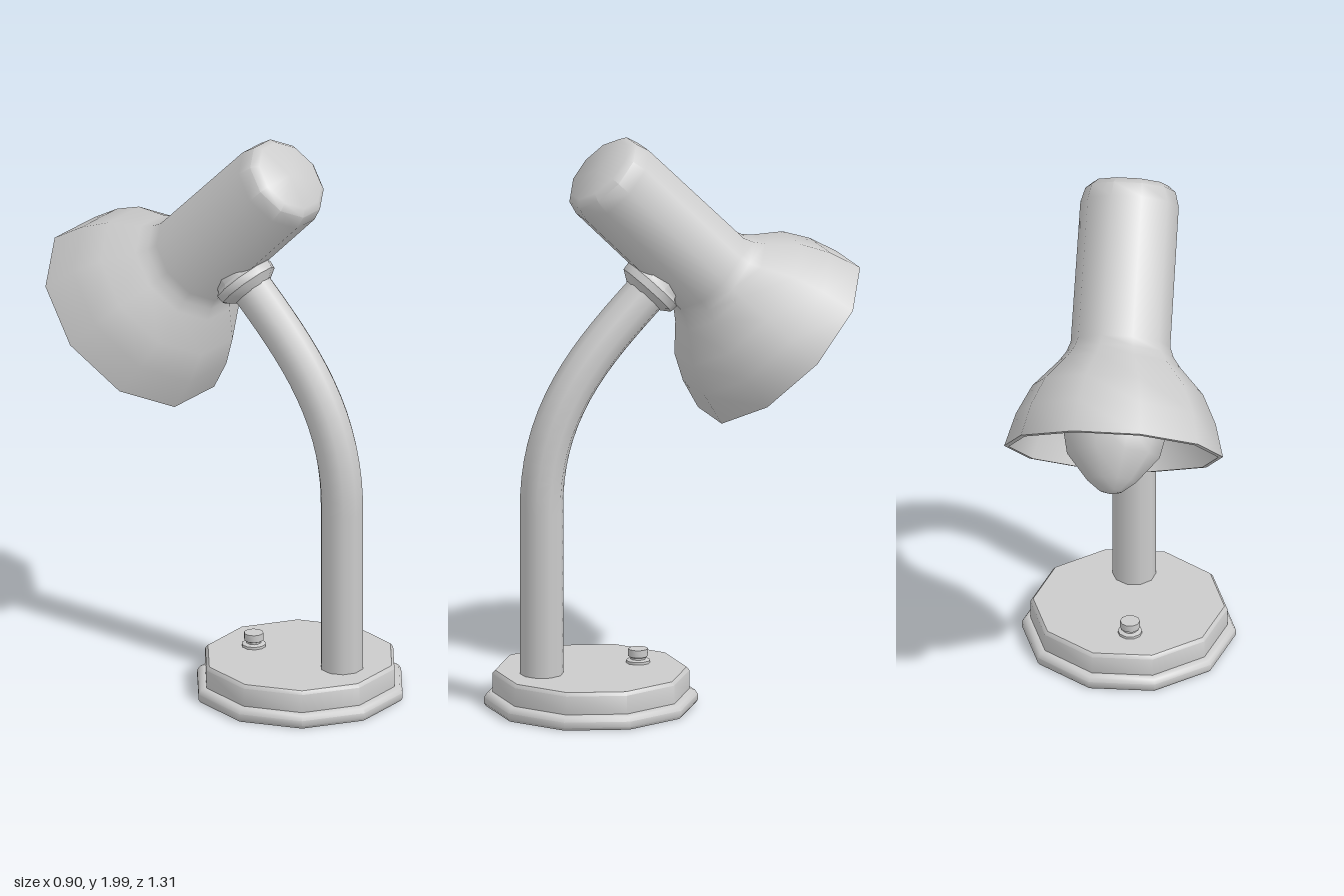
import * as THREE from 'three';
import { toCreasedNormals } from 'three/addons/utils/BufferGeometryUtils.js';

const SIDES = 10;
const material = new THREE.MeshStandardMaterial({ color: 0xcccccc });

// Ten-sided turned part from [radius, height] pairs, with crisp rims
function turned(name, profile, phase = 0, crease = 0.75) {
  const points = profile.map(([r, y]) => new THREE.Vector2(r, y));
  const lathe = new THREE.LatheGeometry(points, SIDES, THREE.MathUtils.degToRad(phase));
  const mesh = new THREE.Mesh(toCreasedNormals(lathe, crease), material);
  mesh.name = name;
  return mesh;
}

export function createModel() {
  const lamp = new THREE.Group();
  lamp.name = 'deskLamp';

  // Stepped base
  const base = turned('base', [
    [0, 0], [0.362, 0], [0.369, 0.01], [0.369, 0.03], [0.36, 0.044], [0.345, 0.05],
    [0.34, 0.05], [0.34, 0.115], [0.33, 0.127], [0, 0.127],
  ], -2.4);
  base.position.set(0.095, 0, 0.29);
  lamp.add(base);

  // Push button on the base
  const button = turned('switchButton', [
    [0.042, 0.12], [0.042, 0.136], [0.026, 0.14], [0.026, 0.146],
    [0.034, 0.15], [0.034, 0.176], [0, 0.176],
  ]);
  button.position.set(0.03, 0, 0.12);
  lamp.add(button);

  // Stem: straight post that bends over towards the head
  const bendStart = new THREE.Vector3(0.138, 0.72, 0.465);
  const path = new THREE.CurvePath();
  path.add(new THREE.LineCurve3(new THREE.Vector3(0.138, 0.1, 0.465), bendStart));
  path.add(new THREE.CubicBezierCurve3(
    bendStart,
    new THREE.Vector3(0.138, 1.1, 0.465),
    new THREE.Vector3(0.079, 1.288, 0.245),
    new THREE.Vector3(0.026, 1.5, 0.04),
  ));
  const stem = new THREE.Mesh(new THREE.TubeGeometry(path, 28, 0.075, SIDES), material);
  stem.name = 'stem';
  lamp.add(stem);

  // Head: local +y runs from the closed cap to the open rim
  const head = new THREE.Group();
  head.name = 'head';
  head.position.set(0.077, 1.9, 0.26);
  head.rotation.set(-Math.PI * 0.75, 0.253, 0, 'YXZ');
  lamp.add(head);

  // Socket housing and flared shade, with the inner wall returning from the rim
  head.add(turned('shade', [
    [0, 0], [0.132, 0], [0.156, 0.02], [0.17, 0.07], [0.172, 0.56],
    [0.185, 0.595], [0.21, 0.63], [0.295, 0.72], [0.345, 0.82], [0.378, 0.935],
    [0.362, 0.937], [0.33, 0.825], [0.28, 0.73], [0.195, 0.645], [0.15, 0.59], [0, 0.58],
  ], 18));

  // Light bulb
  head.add(turned('bulb', [
    [0.07, 0.57], [0.1, 0.69], [0.155, 0.77], [0.18, 0.86], [0.16, 0.95],
    [0.085, 1.04], [0.04, 1.075], [0, 1.085],
  ], 18, 1.2));

  // Collar where the stem meets the housing
  const collar = turned('collar', [
    [0.07, -0.045], [0.085, -0.035], [0.11, -0.018], [0.113, 0.01], [0.1, 0.022], [0.095, 0.07],
  ], 18);
  collar.position.set(0, 0.442, -0.174);
  collar.rotation.x = Math.PI / 2;
  head.add(collar);

  return lamp;
}
